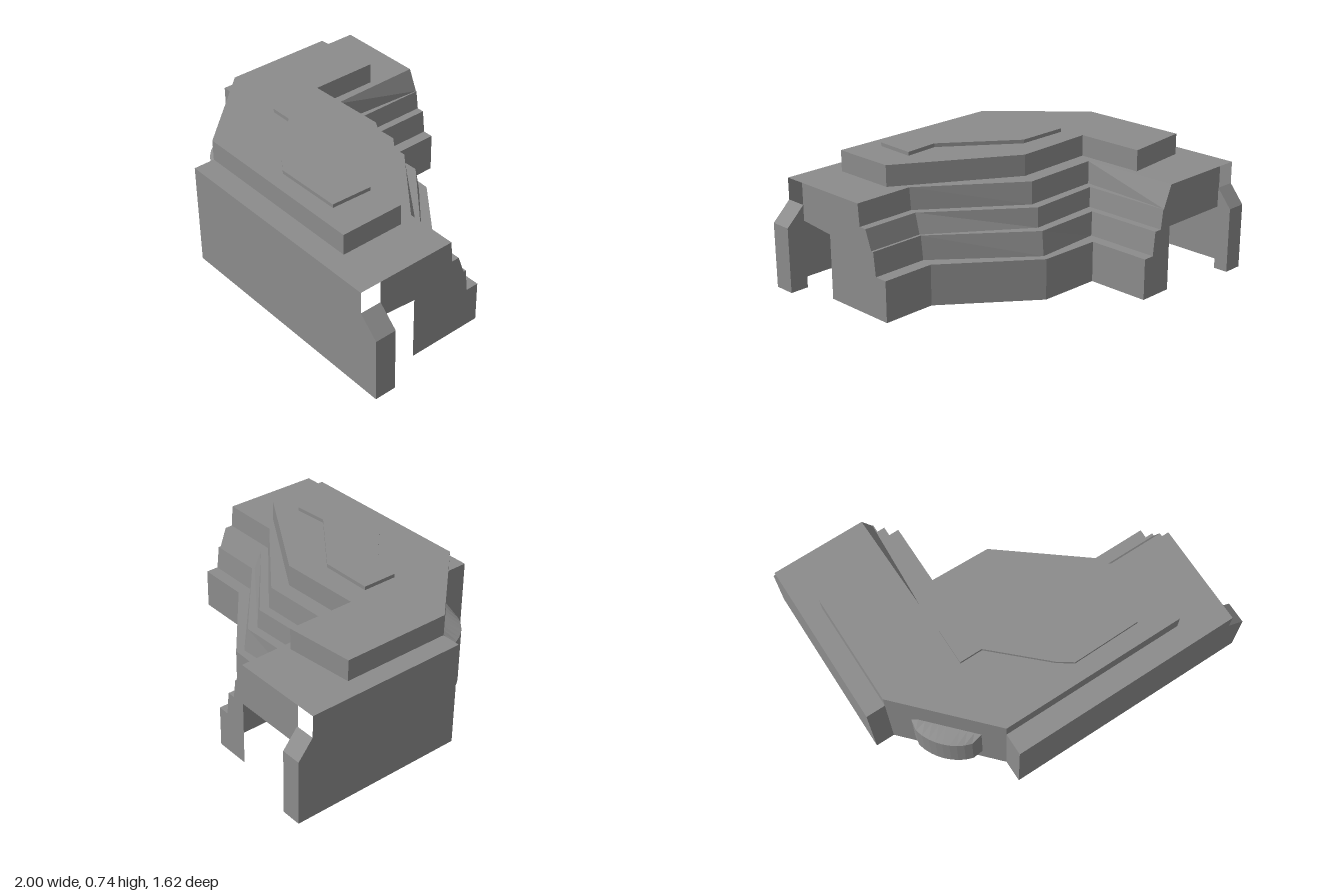
import * as THREE from 'three';

export function createModel() {
  const group = new THREE.Group();
  const grey = new THREE.MeshStandardMaterial({ color: 0x8c8c8c, side: THREE.DoubleSide, flatShading: true });
  grey.name = 'concrete grey';

  const add = (name, geometry) => {
    const mesh = new THREE.Mesh(geometry, grey);
    mesh.name = name;
    group.add(mesh);
    return mesh;
  };
  const shape = pts => new THREE.Shape(pts.map(([x, y]) => new THREE.Vector2(x, y)));
  // plan outline [x, z] raised from y0 to y1
  const slab = (name, plan, y0, y1) => add(name,
    new THREE.ExtrudeGeometry(shape(plan.map(([x, z]) => [x, -z])), { depth: y1 - y0, bevelEnabled: false })
      .rotateX(-Math.PI / 2).translate(0, y0, 0));
  // thin sheet through rows of [x, y, z] points
  const sheet = (name, rows) => {
    const pos = [];
    for (let r = 0; r < rows.length - 1; r++) {
      for (let i = 0; i < rows[r].length - 1; i++) {
        const p = rows[r][i], q = rows[r][i + 1], s = rows[r + 1][i + 1], t = rows[r + 1][i];
        pos.push(...p, ...s, ...q, ...p, ...t, ...s);
      }
    }
    const g = new THREE.BufferGeometry();
    g.setAttribute('position', new THREE.Float32BufferAttribute(pos, 3));
    g.computeVertexNormals();
    return add(name, g);
  };
  const atHeight = (plan, y) => plan.map(([x, z]) => [x, y, z]);

  const BASE = 0.012, ROOF = 0.615, TOP = 0.735, BACK = -0.735, SIDE = 0.89, FRONT = 0.803;

  // Inner edge of each terrace, from the back wing round to the side wing
  const edge = (x, z1, x2, z2, x3, z3, xBack = x) =>
    [[xBack, BACK], [x, z1], [x2, z2], [x3, z3], [SIDE, z3]];
  const e0 = edge(-0.26, -0.37, 0.10, -0.36, 0.58, 0.02);
  const e1b = edge(-0.325, -0.30, 0.08, -0.32, 0.565, 0.095);
  const e1 = edge(-0.34, -0.29, 0.07, -0.30, 0.565, 0.11);
  const e2b = edge(-0.385, -0.23, 0.05, -0.25, 0.56, 0.125);
  const e2 = edge(-0.40, -0.22, 0.04, -0.24, 0.55, 0.165);
  const e3b = edge(-0.44, -0.17, 0.03, -0.185, 0.54, 0.21, -0.405);
  const e3 = edge(-0.45, -0.16, 0.02, -0.175, 0.54, 0.22, -0.46);
  const rows = [[BASE, e0], [0.245, e0], [0.245, e1b], [0.38, e1], [0.38, e2b],
    [0.49, e2], [0.49, e3b], [ROOF, e3]];

  // Stepped terraces as a thin shell of risers and treads
  sheet('terraces', rows.map(([y, e]) => atHeight(e, y)));

  // Wing ends: stepped outline on one side, doorway on the other
  add('backWingEnd', new THREE.ShapeGeometry(shape([
    [-0.89, ROOF], [-0.89, 0.38], [-0.46, 0.38], [-0.46, BASE],
    ...rows.map(([y, e]) => [e[0][0], y])])).translate(0, 0, BACK));
  add('sideWingEnd', new THREE.ShapeGeometry(shape([
    [-0.68, ROOF], [-0.68, 0.40], [-0.46, 0.38], [-0.46, BASE],
    ...rows.map(([y, e]) => [-e[4][1], y])])).rotateY(Math.PI / 2).translate(SIDE, 0, 0));

  // Roof sheet over both wings
  add('mainRoof', new THREE.ShapeGeometry(shape([
    [-1, BACK], [-1, 0.21], [-0.89, 0.21], [-0.45, 0.68], [-0.45, FRONT], [SIDE, FRONT],
    ...[...e3].reverse()].map(([x, z]) => [x, -z]))).rotateX(-Math.PI / 2).translate(0, ROOF, 0));

  // Upper storey and raised roof plate
  slab('upperStorey', [[-0.89, -0.425], [-0.89, 0.21], [-0.45, 0.68], [0.62, 0.68], [0.62, 0.31],
    [-0.02, -0.085], [-0.5, -0.07], [-0.5, -0.465]], ROOF, TOP);
  slab('roofPlate', [[-0.46, 0.06], [-0.16, 0.06], [0.23, 0.36], [0.43, 0.345], [0.42, 0.58],
    [0.03, 0.585], [-0.05, 0.53], [-0.33, 0.265], [-0.46, 0.265]], TOP, 0.756);

  // Outer walls: thin sheets with a return to the corner wall
  const wallSheet = (name, plan) => sheet(name, [atHeight(plan, BASE), atHeight(plan, ROOF)]);
  wallSheet('frontWall', [[-0.45, 0.68], [-0.45, FRONT], [SIDE, FRONT]]);
  wallSheet('sideWall', [[-0.89, 0.21], [-1, 0.21], [-1, BACK]]);

  // Hollow buttresses with sloping tops at the free ends of the walls
  const buttress = (name, plan) => {
    const top = plan.map(([x, z], i) => [x, i === 1 || i === 2 ? 0.385 : 0.49, z]);
    sheet(name, [atHeight(plan, BASE), top]);
    sheet(name + 'Top', [[top[0], top[1]], [top[3], top[2]]]);
  };
  buttress('frontButtress', [[SIDE, FRONT], [1, FRONT], [1, 0.68], [SIDE, 0.68]]);
  buttress('backButtress', [[-1, BACK], [-1, -0.82], [-0.885, -0.82], [-0.885, BACK]]);

  // Angled corner wall with an opening that leads into a rounded bay
  const corner = new THREE.Group();
  corner.name = 'cornerWall';
  corner.position.set(-0.89, 0, 0.21);
  corner.rotation.y = -Math.atan2(0.47, 0.44);
  group.add(corner);
  const wall = shape([[0, BASE], [0.644, BASE], [0.644, ROOF], [0, ROOF]]);
  wall.holes.push(new THREE.Path([[0.13, 0.1], [0.13, 0.49], [0.51, 0.49], [0.51, 0.1]]
    .map(([x, y]) => new THREE.Vector2(x, y))));
  corner.add(add('cornerPanel', new THREE.ShapeGeometry(wall)));

  const bay = new THREE.PlaneGeometry(0.38, 0.39, 10, 10);
  const p = bay.attributes.position;
  for (let i = 0; i < p.count; i++) {
    const u = p.getX(i) / 0.38, v = p.getY(i) / 0.39;
    const inside = Math.abs(v) < 0.49 ? 1 : 0;
    p.setZ(i, 0.09 * inside * Math.sqrt(Math.max(0, Math.cos(Math.PI * u))));
  }
  bay.translate(0.32, 0.295, 0);
  bay.computeVertexNormals();
  corner.add(add('cornerBay', bay));

  return group;
}
